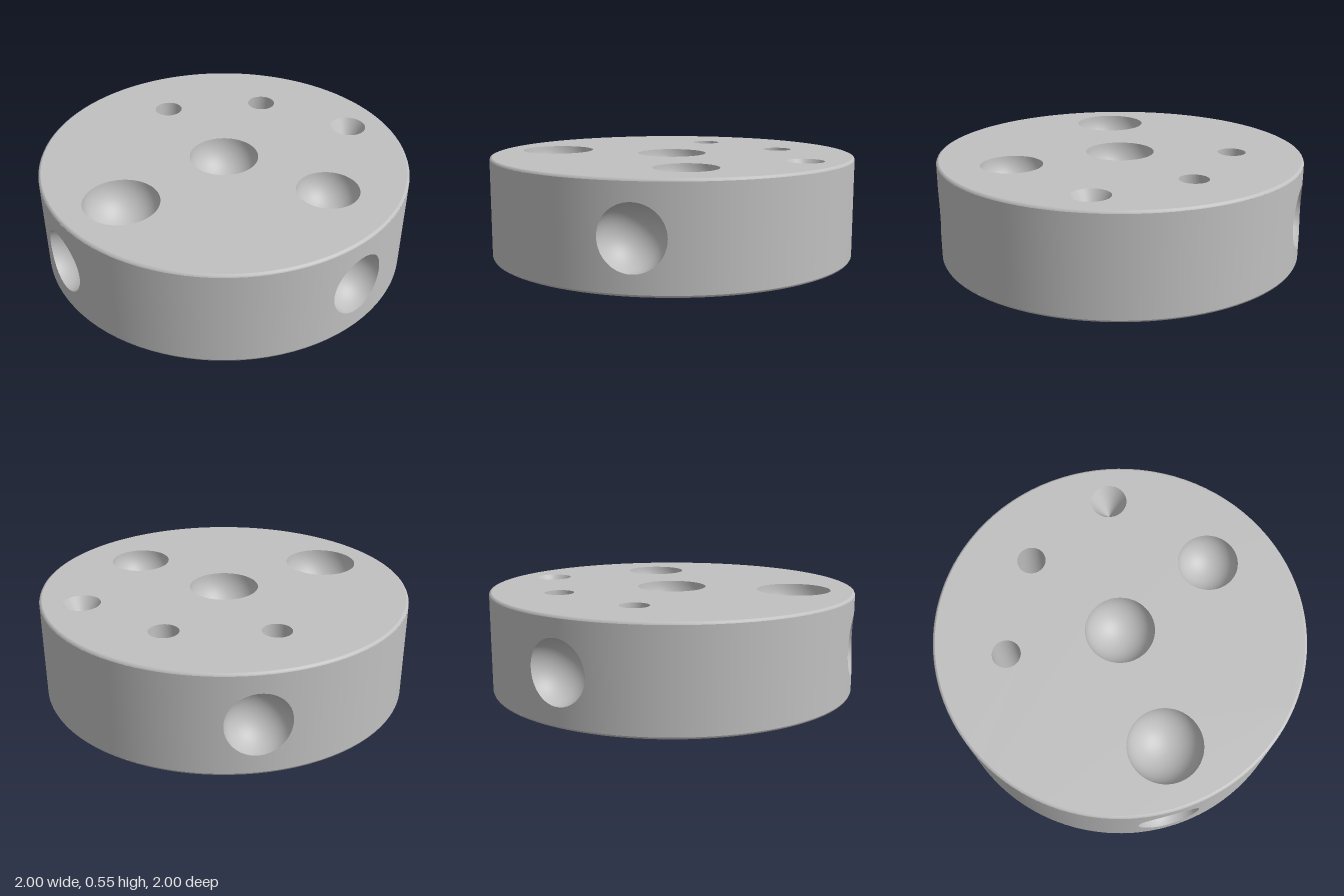
import * as THREE from 'three';
import { ParametricGeometry } from 'three/addons/geometries/ParametricGeometry.js';

const HEIGHT = 0.55, BEVEL = 0.013, SEG = 96;
const rad = THREE.MathUtils.degToRad;

// Dents in the top face: x, z, radius, depth (the deep one is conical)
const topDents = [
  { x: 0, z: 0, r: 0.187 },
  { x: -0.5, z: 0.45, r: 0.198 },
  { x: 0.55, z: 0.3, r: 0.165 },
  { x: 0.7, z: -0.35, r: 0.1, cone: 0.18 },
];

// Slightly slanted through holes: [x, z, radius] at the top and the bottom
const throughHoles = [
  { top: [-0.352, -0.507, 0.077], bottom: [-0.375, -0.485, 0.08] },
  { top: [0.198, -0.606, 0.078], bottom: [0.165, -0.62, 0.108] },
];

// Round dents in the rim, by azimuth from +z towards +x
const sideAngles = [-53, 44.3, 199].map(rad);
const SIDE_R = 0.167, PATCH = 0.24;

export function createModel() {
  const group = new THREE.Group();
  const grey = new THREE.MeshStandardMaterial({ color: 0xc0c0c0, side: THREE.DoubleSide });
  grey.name = 'grey';

  const add = (name, geometry, x = 0, y = 0, z = 0) => {
    const mesh = new THREE.Mesh(geometry, grey);
    mesh.name = name;
    mesh.position.set(x, y, z);
    group.add(mesh);
    return mesh;
  };

  // Flat faces with openings
  const face = (name, y, tilt, openings) => {
    const shape = new THREE.Shape().absarc(0, 0, 1 - BEVEL, 0, Math.PI * 2);
    for (const [x, z, r] of openings) {
      shape.holes.push(new THREE.Path().absarc(x, z * -tilt, r, 0, Math.PI * 2, true));
    }
    add(name, new THREE.ShapeGeometry(shape, SEG / 2).rotateX(-tilt * Math.PI / 2), 0, y, 0);
  };
  face('topFace', HEIGHT, 1,
    [...topDents.map((d) => [d.x, d.z, d.r]), ...throughHoles.map((h) => h.top)]);
  face('bottomFace', 0, -1, throughHoles.map((h) => h.bottom));

  // Narrow bevels around both edges
  const ring = (name, points) =>
    add(name, new THREE.LatheGeometry(points.map((p) => new THREE.Vector2(...p)), SEG));
  ring('bottomBevel', [[1 - BEVEL, 0], [1 - BEVEL * 0.3, BEVEL * 0.3], [1, BEVEL]]);
  ring('topBevel', [[1, HEIGHT - BEVEL], [1 - BEVEL * 0.3, HEIGHT - BEVEL * 0.3], [1 - BEVEL, HEIGHT]]);

  // Bowls sunk into the top face
  for (const d of topDents) {
    const profile = [];
    for (let i = 0; i <= 16; i++) {
      const t = i / 16, a = t * Math.PI / 2;
      profile.push(d.cone
        ? new THREE.Vector2(d.r * (1 - t), -d.cone * t)
        : new THREE.Vector2(i === 16 ? 0 : d.r * Math.cos(a), -d.r * Math.sin(a)));
    }
    add('topDent', new THREE.LatheGeometry(profile, SEG), d.x, HEIGHT, d.z);
  }

  // Walls of the through holes
  for (const { top, bottom } of throughHoles) {
    add('throughHoleWall', new ParametricGeometry((u, v, target) => {
      const [x, z, r] = bottom.map((b, i) => THREE.MathUtils.lerp(b, top[i], v));
      const a = u * Math.PI * 2;
      target.set(x + r * Math.cos(a), v * HEIGHT, z + r * Math.sin(a));
    }, SEG, 4));
  }

  // Outer wall: plain arcs between square patches that each hold a round dent
  const wallHeight = HEIGHT - 2 * BEVEL, mid = HEIGHT / 2;
  sideAngles.forEach((angle, i) => {
    const next = i < 2 ? sideAngles[i + 1] : sideAngles[0] + Math.PI * 2;
    const length = next - angle - 2 * PATCH;
    add('wallArc', new THREE.CylinderGeometry(1, 1, wallHeight, Math.ceil(length * 18), 1, true,
      angle + PATCH, length), 0, mid, 0);

    // Where a sphere centred on the wall cuts it, as angle and height
    const rim = (t) => [2 * Math.asin(SIDE_R * Math.cos(t) / 2), SIDE_R * Math.sin(t)];

    add('wallPatch', new ParametricGeometry((u, v, target) => {
      const t = u * Math.PI * 2, c = Math.cos(t), s = Math.sin(t);
      const k = 1 / Math.max(Math.abs(c), Math.abs(s));
      const [ra, ry] = rim(t);
      const a = angle + THREE.MathUtils.lerp(c * k * PATCH, ra, v);
      const y = THREE.MathUtils.lerp(s * k * wallHeight / 2, ry, v);
      target.set(Math.sin(a), mid + y, Math.cos(a));
    }, 64, 5));

    const centre = new THREE.Vector3(Math.sin(angle), mid, Math.cos(angle));
    const inward = new THREE.Vector3(-Math.sin(angle), 0, -Math.cos(angle));
    add('sideDent', new ParametricGeometry((u, v, target) => {
      const [ra, ry] = rim(u * Math.PI * 2);
      target.set(Math.sin(angle + ra), mid + ry, Math.cos(angle + ra)).sub(centre).normalize();
      // Swing from the rim to the deepest point
      const w = v * 0.999 * Math.PI / 2;
      target.multiplyScalar(Math.cos(w)).addScaledVector(inward, Math.sin(w));
      target.normalize().multiplyScalar(SIDE_R).add(centre);
    }, 64, 14));
  });

  return group;
}
